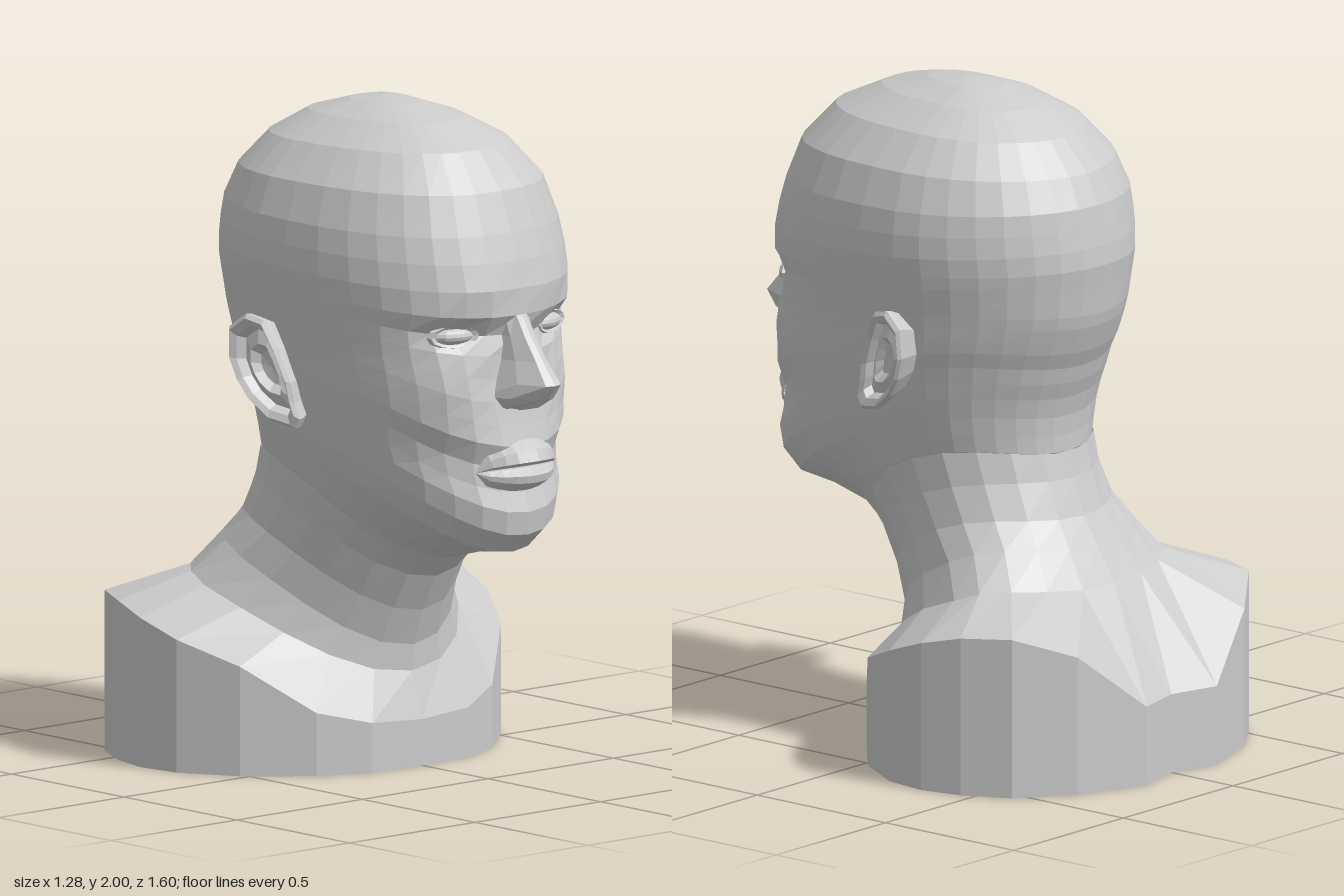
import * as THREE from 'three';

const grey = new THREE.MeshStandardMaterial({ color: 0xcccccc, flatShading: true, side: THREE.DoubleSide });

// Flat-shaded grid: columns run to the right, rows run upward; fn(col, row) gives [x, y, z]
function gridMesh(name, cols, rows, fn) {
  const pos = [], index = [];
  for (let r = 0; r <= rows; r++) for (let c = 0; c <= cols; c++) pos.push(...fn(c, r));
  for (let r = 0; r < rows; r++) for (let c = 0; c < cols; c++) {
    const a = r * (cols + 1) + c, d = a + cols + 1;
    index.push(a, a + 1, d + 1, a, d + 1, d);
  }
  const indexed = new THREE.BufferGeometry();
  indexed.setAttribute('position', new THREE.Float32BufferAttribute(pos, 3));
  indexed.setIndex(index);
  const geometry = indexed.toNonIndexed();
  geometry.computeVertexNormals();
  const mesh = new THREE.Mesh(geometry, grey);
  mesh.name = name;
  return mesh;
}

const power = (v, e) => Math.sign(v) * Math.abs(v) ** e;

// Point on a tilted oval ring: front, back and side heights, with a squarer front half
function ringPoint([zF, yF, zB, yB, w, yS, zS = 0], angle, squareness) {
  const c = Math.cos(angle), s = Math.sin(angle);
  const e = c > 0 ? 2 / squareness : 1;
  const k = (1 - c) / 2;
  return [
    w * power(s, e),
    yF + (4 * yS - 3 * yF - yB) * k + (2 * yF + 2 * yB - 4 * yS) * k * k,
    zS + (c > 0 ? zF - zS : zS - zB) * power(c, e),
  ];
}

// Bust base and neck: half outline of the rim [x, z, height], then neck rings
const rim = [
  [0, 0.21, 0.14], [0.19, 0.2, 0.15], [0.35, 0.13, 0.19], [0.52, -0.02, 0.33],
  [0.62, -0.19, 0.4], [0.64, -0.33, 0.45], [0.61, -0.46, 0.48], [0.54, -0.6, 0.485],
  [0.38, -0.72, 0.42], [0.16, -0.8, 0.24], [0, -0.76, 0.24],
];
const neckRings = [
  [0.165, 0.28, -0.54, 0.54, 0.43, 0.53, -0.28],
  [0.17, 0.36, -0.47, 0.65, 0.36, 0.62, -0.2],
  [0.21, 0.47, -0.42, 0.73, 0.325, 0.7, -0.12],
  [0.27, 0.58, -0.38, 0.84, 0.315, 0.8, -0.06],
  [0.34, 0.65, -0.36, 0.92, 0.32, 0.9, -0.02],
];

function makeBust() {
  return gridMesh('bustAndNeck', 20, 7, (c, r) => {
    if (r === 0) return [0, 0, -0.3];
    if (r > 2) return ringPoint(neckRings[r - 3], c / 10 * Math.PI, 2);
    const [x, z, y] = rim[c <= 10 ? c : 20 - c];
    return [c <= 10 ? x : -x, r === 1 ? 0 : y, z];
  });
}

// Head rings: front z, front y, back z, back y, half width, side y
const jawRings = [
  [0.3, 0.6, -0.33, 0.86, 0.29, 0.84],
  [0.345, 0.648, -0.36, 0.92, 0.32, 0.9],
  [0.48, 0.685, -0.36, 0.97, 0.335, 0.95],
  [0.61, 0.7, -0.365, 1.03, 0.35, 1.0],
  [0.675, 0.76, -0.38, 1.09, 0.365, 1.06],
  [0.685, 0.83, -0.4, 1.14, 0.375, 1.12],
  [0.665, 0.89, -0.415, 1.19, 0.385, 1.17],
  [0.655, 0.96, -0.44, 1.24, 0.395, 1.22],
  [0.68, 1.03, -0.455, 1.28, 0.4, 1.26],
  [0.665, 1.09, -0.47, 1.32, 0.405, 1.31],
];
const skullRings = [
  [0.65, 1.16, -0.48, 1.36, 0.41, 1.35],
  [0.635, 1.23, -0.485, 1.4, 0.415, 1.38],
  [0.63, 1.3, -0.49, 1.44, 0.42, 1.41],
  [0.63, 1.36, -0.495, 1.475, 0.425, 1.44],
  [0.65, 1.42, -0.5, 1.51, 0.43, 1.48],
  [0.648, 1.5, -0.495, 1.57, 0.437, 1.54],
  [0.63, 1.58, -0.485, 1.63, 0.435, 1.61],
  [0.605, 1.66, -0.475, 1.69, 0.425, 1.68],
  [0.56, 1.78, -0.43, 1.78, 0.385, 1.79],
  [0.46, 1.89, -0.34, 1.875, 0.295, 1.89],
  [0.32, 1.955, -0.22, 1.945, 0.18, 1.955],
  [0.17, 1.99, -0.08, 1.985, 0.08, 1.99],
  [0.04, 2, 0.04, 2, 0, 2, 0.04],
];

// Soft face relief: [x, y, radius x, radius y, depth], mirrored
const relief = [
  [0.18, 1.375, 0.085, 0.045, -0.05], // eye socket
  [0.17, 1.455, 0.12, 0.035, 0.02], // brow
  [0.24, 1.22, 0.08, 0.07, 0.015], // cheekbone
  [0.24, 1.0, 0.08, 0.1, -0.015], // hollow cheek
];

function makeHead() {
  const rings = [...jawRings, ...skullRings], half = 17;
  return gridMesh('head', half * 2, rings.length - 1, (c, r) => {
    const p = ringPoint(rings[r], c / half * Math.PI, 2 + 0.4 * Math.min(1, r / 12));
    if (p[2] > 0.2) for (const [x, y, rx, ry, depth] of relief) {
      p[2] += depth * Math.exp(-(((Math.abs(p[0]) - x) / rx) ** 2) - ((p[1] - y) / ry) ** 2);
    }
    return p;
  });
}

// Nose sections from underside to bridge: y, ridge z, half width, ridge half width
const noseRows = [
  [1.13, 0.64, 0.06, 0.015], [1.15, 0.725, 0.09, 0.02], [1.18, 0.765, 0.108, 0.03],
  [1.225, 0.8, 0.09, 0.03], [1.29, 0.745, 0.065, 0.022], [1.36, 0.69, 0.055, 0.02],
  [1.43, 0.645, 0.06, 0.02],
];

function makeNose() {
  return gridMesh('nose', 6, noseRows.length - 1, (c, r) => {
    const [y, z, w, ridge] = noseRows[r];
    const i = Math.abs(c - 3), side = Math.sign(c - 3);
    const x = [0, ridge, w * 0.75, w][i];
    const back = 0.59;
    const nostril = r === 1 && i === 1 ? 0.015 : 0;
    return [x * side, y + nostril, back + (z - back) * [1, 0.96, 0.55, 0][i]];
  });
}

// Lips: profile of [protrusion, y] swept across the mouth and tapered at the corners
const lipProfile = [
  [-0.01, 0.89], [0.045, 0.922], [0.05, 0.945], [0.02, 0.967], [-0.03, 0.968],
  [0.03, 0.974], [0.062, 0.99], [0.045, 1.025], [-0.01, 1.06],
];

function makeLips() {
  return gridMesh('lips', 10, lipProfile.length - 1, (c, r) => {
    const u = (c - 5) / 5, x = 0.155 * u, f = 1 - u * u;
    const [dz, y] = lipProfile[r];
    return [x, 0.968 + (y - 0.968) * Math.sqrt(f) - 0.012 * u * u, 0.668 - 1.7 * x * x + dz * f - 0.008 * u * u];
  });
}

function makeEye(side) {
  const eye = new THREE.Group();
  eye.name = side > 0 ? 'leftEye' : 'rightEye';
  const ball = new THREE.Mesh(new THREE.SphereGeometry(1, 12, 8), grey);
  ball.name = 'eyeball';
  ball.scale.set(0.068, 0.026, 0.036);
  const lids = new THREE.Mesh(new THREE.TorusGeometry(1, 0.2, 5, 12), grey);
  lids.name = 'eyelids';
  lids.scale.set(0.072, 0.031, 0.07);
  lids.position.z = 0.008;
  eye.add(ball, lids);
  eye.position.set(0.187 * side, 1.365, 0.55);
  eye.rotation.y = 0.35 * side;
  return eye;
}

// Ear: outline [z, y] in rings from the skull to the rim, then into the hollow
const earOutline = [
  [0.09, 1.19], [0.05, 1.29], [0.01, 1.37], [-0.05, 1.385], [-0.11, 1.34], [-0.115, 1.25],
  [-0.09, 1.18], [-0.05, 1.12], [0.02, 1.065], [0.1, 1.05], [0.115, 1.08], [0.1, 1.13],
];
// Each ring: scale, offset from the rim plane
const earRings = [[0.8, -0.09], [0.98, -0.02], [1, 0], [0.92, 0.012], [0.78, 0], [0.7, -0.03], [0.45, -0.015], [0.3, -0.04], [0, -0.045]];

function makeEar(side) {
  const n = earOutline.length;
  const ear = gridMesh(side > 0 ? 'leftEar' : 'rightEar', n, earRings.length - 1, (c, r) => {
    const [oz, oy] = earOutline[side > 0 ? (n - c) % n : c % n];
    const [scale, lift] = earRings[r];
    const z = -0.01 + (oz + 0.01) * scale, y = 1.22 + (oy - 1.22) * scale;
    const x = 0.4 + 0.27 * (0.13 - z) + 0.06 * (y - 1.07) + lift;
    return [x * side, y, z];
  });
  return ear;
}

export function createModel() {
  const model = new THREE.Group();
  model.name = 'headBust';
  model.add(makeBust(), makeHead(), makeNose(), makeLips());
  for (const side of [1, -1]) model.add(makeEye(side), makeEar(side));
  return model;
}
